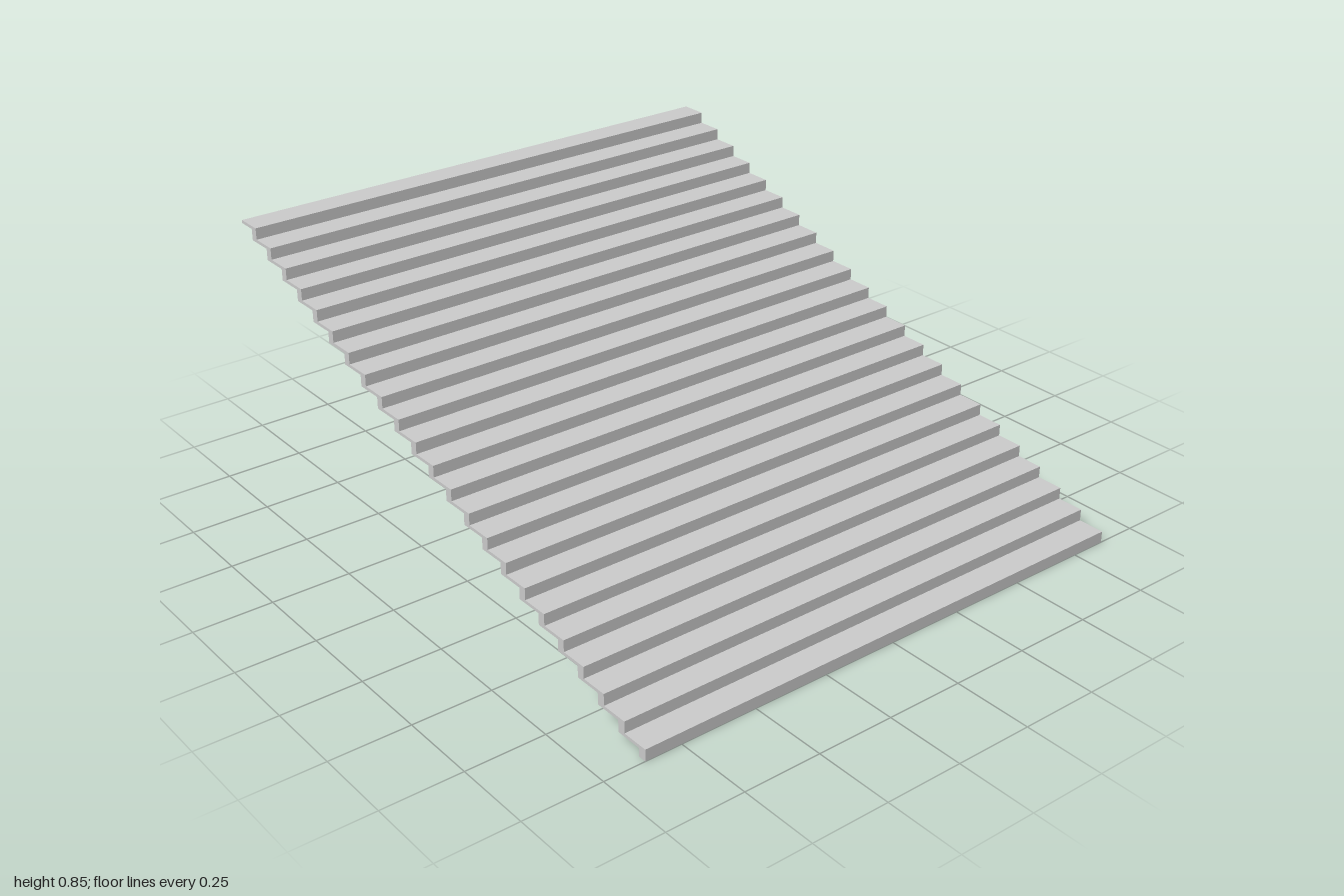
import * as THREE from 'three';

const STEPS = 23, WIDTH = 1.736, RUN = 2 / STEPS, RISE = 0.846 / STEPS;
const TREAD = 0.01, RISER = 0.026; // thicknesses

export function createModel() {
  const group = new THREE.Group();
  const material = new THREE.MeshStandardMaterial({ color: 0xcccccc, flatShading: true });

  // Side profile: u runs from the front edge to the back, v is height
  const points = [];
  for (let i = 0; i < STEPS; i++) { // upper side, going up
    points.push([i * RUN, i * RISE], [i * RUN, (i + 1) * RISE]);
  }
  points.push([2, STEPS * RISE]);
  for (let i = STEPS; i > 0; i--) { // underside, coming back down
    const u = i === STEPS ? 2 : i * RUN + RISER;
    points.push([u, i * RISE - TREAD], [(i - 1) * RUN + RISER, i * RISE - TREAD]);
  }
  points.push([RISER, 0]);
  const profile = new THREE.Shape(points.map(([u, v]) => new THREE.Vector2(u, v)));

  // Folded flight of treads and risers, extruded across its width
  const geometry = new THREE.ExtrudeGeometry(profile, { depth: WIDTH, bevelEnabled: false });
  geometry.translate(-1, 0, -WIDTH / 2);
  geometry.rotateY(Math.PI / 2);
  const stairs = new THREE.Mesh(geometry, material);
  stairs.name = 'stairFlight';
  group.add(stairs);
  return group;
}
